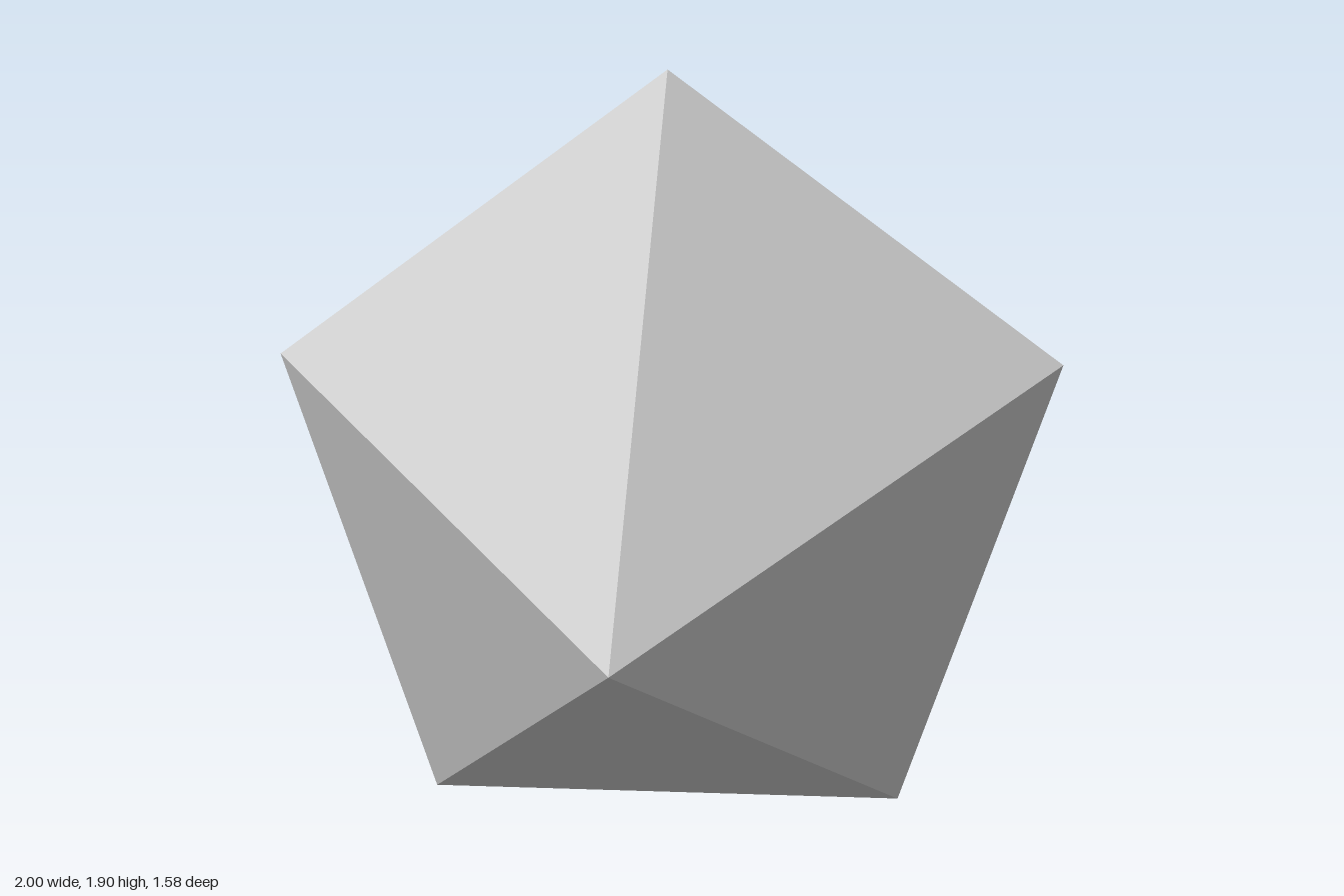
import * as THREE from 'three';

// Pentagon corner radius that makes the widest span exactly 2 units
const RADIUS = 1 / Math.sin((2 * Math.PI) / 5);
const HEIGHT = RADIUS * 1.5;

export function createModel() {
  const group = new THREE.Group();
  group.name = 'pentagonalPyramid';

  // Five-sided pyramid lying on its side: apex to the front, one base corner up
  const geometry = new THREE.ConeGeometry(RADIUS, HEIGHT, 5, 1, false, Math.PI);
  geometry.rotateX(Math.PI / 2);
  // Rest the lower flat edge on the ground
  geometry.translate(0, RADIUS * Math.cos(Math.PI / 5), 0);

  const material = new THREE.MeshStandardMaterial({ color: 0xcccccc, flatShading: true });
  const pyramid = new THREE.Mesh(geometry, material);
  pyramid.name = 'pyramid';
  group.add(pyramid);

  return group;
}
